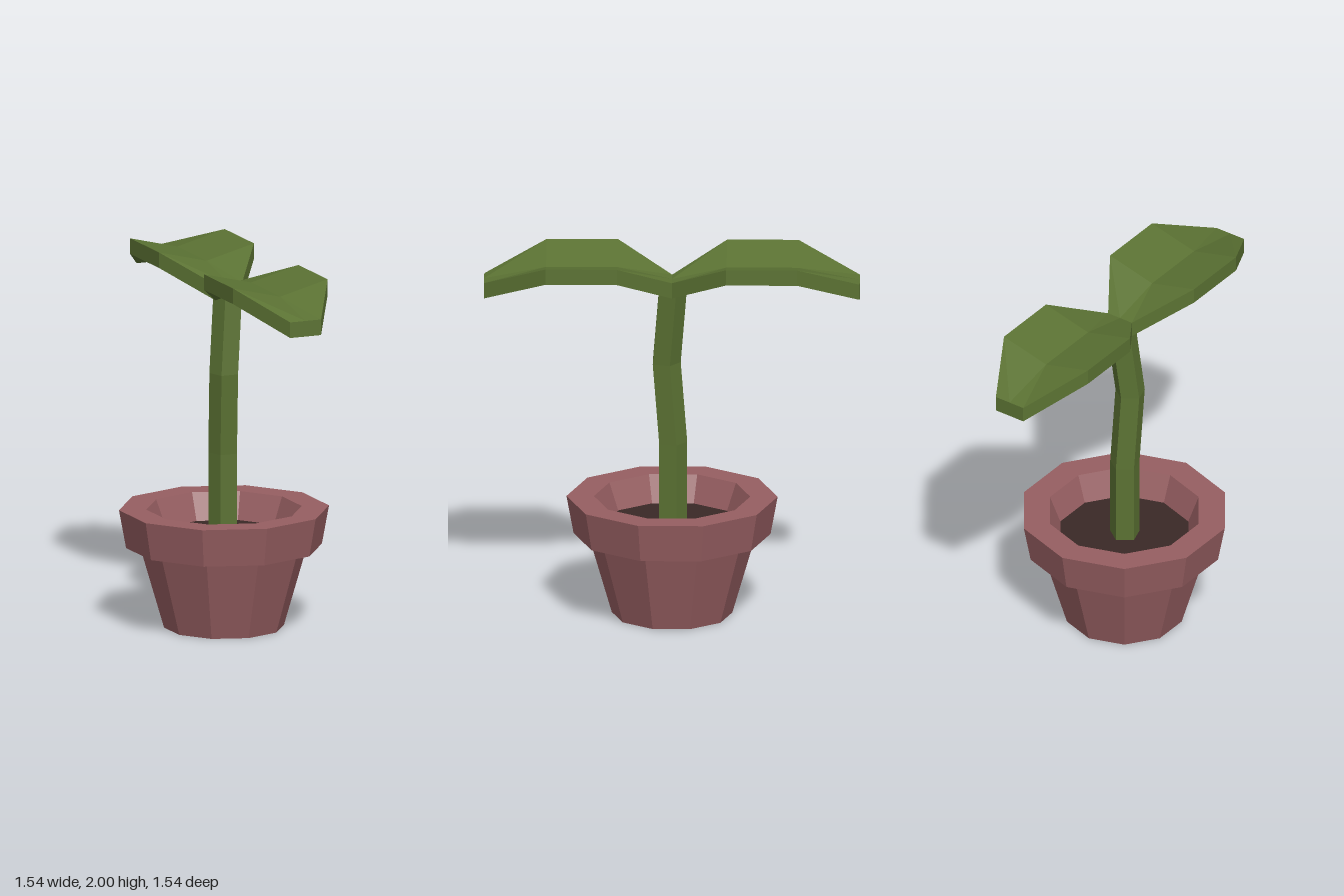
import * as THREE from 'three';

const mat = (color, side = THREE.FrontSide) =>
  new THREE.MeshStandardMaterial({ color, side, flatShading: true });

const TURN = THREE.MathUtils.degToRad(9); // pot and stem share this small twist

// Closed loft through rings of [x, y, z] points, capped at both ends
function loft(rings) {
  const n = rings[0].length, index = [];
  for (let r = 0; r < rings.length - 1; r++) {
    for (let i = 0; i < n; i++) {
      const a = r * n + i, b = r * n + (i + 1) % n;
      index.push(a, a + n, b + n, a, b + n, b);
    }
  }
  const last = (rings.length - 1) * n;
  for (let i = 1; i < n - 1; i++) {
    index.push(0, i, i + 1, last, last + i + 1, last + i);
  }
  const g = new THREE.BufferGeometry();
  g.setAttribute('position', new THREE.Float32BufferAttribute(rings.flat(2), 3));
  g.setIndex(index);
  const flat = g.toNonIndexed();
  flat.computeVertexNormals();
  return flat;
}

// Ten-sided lathe from [radius, y] pairs
function turned(profile) {
  const pts = profile.map(([r, y]) => new THREE.Vector2(r, y));
  return new THREE.LatheGeometry(pts, 10, TURN);
}

function add(parent, name, geometry, material) {
  const mesh = new THREE.Mesh(geometry, material);
  mesh.name = name;
  parent.add(mesh);
  return mesh;
}

export function createModel() {
  const model = new THREE.Group();
  model.name = 'pottedSprout';
  const clay = mat(0x965e61), earth = mat(0x3a2826), green = mat(0x5b7233);

  // Pot: tapered body, overhanging rim and sloped inner wall
  const pot = new THREE.Group();
  pot.name = 'pot';
  pot.position.set(-0.02, 0, 0.02);
  model.add(pot);
  add(pot, 'potBody', turned([
    [0, 0], [0.321, 0], [0.448, 0.438], [0.524, 0.438],
    [0.562, 0.645], [0.416, 0.645], [0.358, 0.5],
  ]), clay);
  add(pot, 'soil', turned([[0.36, 0.5], [0, 0.5]]), earth);

  // Stem: five-sided, bending forward halfway up
  const stemPath = [
    [-0.021, 0.48, 0.023], [-0.021, 0.95, 0.023],
    [-0.003, 1.39, 0.054], [0, 1.84, 0],
  ];
  const stemRings = stemPath.map(([x, y, z]) =>
    Array.from({ length: 5 }, (_, i) => {
      const a = TURN + i * Math.PI * 0.4;
      return [x + 0.082 * Math.cos(a), y, z + 0.082 * Math.sin(a)];
    }));
  add(model, 'stem', loft(stemRings), green);

  // Leaf sections: distance out, half width, edge height, midrib height
  const sections = [
    [0, 0.078, 1.865, 1.865],
    [0.29, 0.276, 2.0, 1.93],
    [0.67, 0.276, 2.0, 1.93],
    [1.0, 0.09, 1.865, 1.865],
  ];
  const thick = 0.085, d = Math.SQRT1_2;
  const leafRings = sections.map(([s, w, edge, rib]) =>
    [[-w, edge], [0, rib], [w, edge], [w, edge - thick], [0, rib - thick], [-w, edge - thick]]
      .map(([t, y]) => [(s + t) * d, y, (s - t) * d]));
  const leafGeometry = loft(leafRings);
  add(model, 'frontLeaf', leafGeometry, green);
  add(model, 'backLeaf', leafGeometry, green).rotation.y = Math.PI;

  return model;
}
